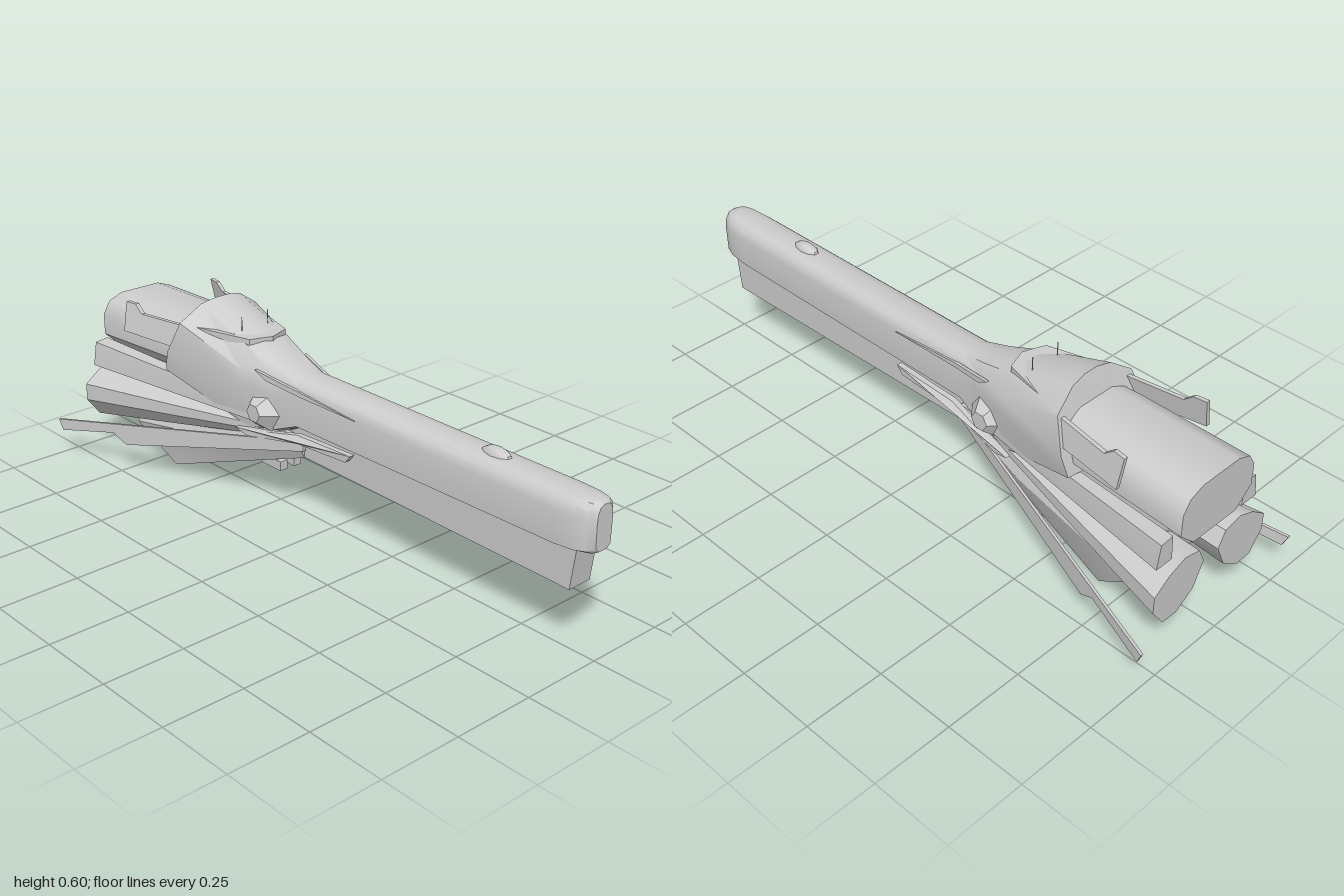
import * as THREE from 'three';
import { toCreasedNormals } from 'three/addons/utils/BufferGeometryUtils.js';

const material = new THREE.MeshStandardMaterial({ color: 0xcccccc, side: THREE.DoubleSide });

// Skin closed rings of [x, y, z], ordered front to back, counter-clockwise from the front.
function loft(rings) {
  const pos = [];
  const n = rings[0].length;
  const tri = (...p) => p.forEach((v) => pos.push(...v));
  for (let i = 0; i < rings.length - 1; i++) {
    for (let j = 0; j < n; j++) {
      const k = (j + 1) % n;
      const a = rings[i][j], b = rings[i][k], c = rings[i + 1][j], d = rings[i + 1][k];
      tri(a, c, b);
      tri(b, c, d);
    }
  }
  const centre = (r) => [0, 1, 2].map((q) => r.reduce((s, p) => s + p[q], 0) / n);
  const first = rings[0], last = rings[rings.length - 1];
  for (let j = 0; j < n; j++) {
    const k = (j + 1) % n;
    tri(centre(first), first[j], first[k]);
    tri(centre(last), last[k], last[j]);
  }
  const g = new THREE.BufferGeometry();
  g.setAttribute('position', new THREE.Float32BufferAttribute(pos, 3));
  return g;
}

// Complete a right-hand half ring (bottom to top) with its mirror half.
const whole = (half) => [...half, ...half.slice().reverse().map(([x, y, z]) => [-x, y, z])];

// Thin plate drawn as [z, y] outline, pushed sideways by xAt(z, y).
function plate(outline, thickness, xAt) {
  const shape = new THREE.Shape(outline.map(([z, y]) => new THREE.Vector2(-z, y)));
  const g = new THREE.ExtrudeGeometry(shape, { depth: thickness, bevelEnabled: false });
  g.rotateY(Math.PI / 2);
  const p = g.attributes.position;
  for (let i = 0; i < p.count; i++) p.setX(i, p.getX(i) + xAt(p.getZ(i), p.getY(i)));
  return g;
}

function mirrored(geometry) {
  const src = geometry.index ? geometry.toNonIndexed() : geometry;
  const p = src.attributes.position, pos = [];
  for (let i = 0; i < p.count; i += 3) {
    for (const j of [i, i + 2, i + 1]) pos.push(-p.getX(j), p.getY(j), p.getZ(j));
  }
  const g = new THREE.BufferGeometry();
  g.setAttribute('position', new THREE.Float32BufferAttribute(pos, 3));
  return g;
}

export function createModel() {
  const model = new THREE.Group();
  model.name = 'spaceship';
  const add = (name, geometry, crease = 0.5) => {
    geometry.deleteAttribute('uv');
    geometry.computeVertexNormals();
    const mesh = new THREE.Mesh(toCreasedNormals(geometry, crease), material);
    mesh.name = name;
    model.add(mesh);
  };
  const pair = (name, geometry, crease) => {
    const other = mirrored(geometry);
    add(name + 'Left', geometry, crease);
    add(name + 'Right', other, crease);
  };

  // Long rounded bow: [z, half width, bottom, top]
  const bow = [
    [1, 0.03, 0.325, 0.455], [0.985, 0.047, 0.318, 0.463], [0.95, 0.059, 0.314, 0.465],
    [0.89, 0.065, 0.312, 0.465], [-0.1, 0.067, 0.305, 0.465],
  ].map(([z, w, b, t]) => whole([
    [w * 0.5, b, z], [w * 0.94, b + 0.012, z], [w, t - 0.045, z],
    [w * 0.9, t - 0.02, z], [w * 0.65, t - 0.005, z], [w * 0.25, t, z],
  ]));
  // Hood flaring out behind the bow, cut off at a slant
  const hood = [
    [[0.045, 0.27, -0.18], [0.075, 0.285, -0.18], [0.083, 0.4, -0.18],
      [0.078, 0.45, -0.18], [0.055, 0.478, -0.18], [0.018, 0.485, -0.18]],
    [[0.05, 0.25, -0.3], [0.09, 0.265, -0.3], [0.115, 0.4, -0.3],
      [0.11, 0.455, -0.3], [0.075, 0.515, -0.3], [0.025, 0.53, -0.3]],
    [[0.06, 0.36, -0.6], [0.163, 0.375, -0.6], [0.172, 0.44, -0.58],
      [0.148, 0.54, -0.54], [0.075, 0.59, -0.525], [0.025, 0.6, -0.52]],
  ].map(whole);
  add('hull', loft([...bow, ...hood]), 0.6);

  // Lower keel beam under the bow
  const beam = ([z, w, b, t, rake]) => whole([[w, b, z], [w, t, z + rake]]);
  add('lowerBeam', loft([[0.935, 0.04, 0.2, 0.32, 0.015], [-0.1, 0.04, 0.215, 0.32, 0],
    [-0.3, 0.045, 0.17, 0.3, 0]].map(beam)));

  // Ventral wedge that deepens toward the stern, with a hollowed rear
  add('ventralWedge', loft([
    [[0.04, 0.212, -0.09], [0.055, 0.25, -0.09], [0.05, 0.28, -0.09]],
    [[0.063, 0.115, -0.36], [0.095, 0.19, -0.36], [0.07, 0.28, -0.36]],
    [[0.09, 0.003, -0.67], [0.135, 0.125, -0.81], [0.08, 0.25, -0.81]],
    [[0.08, 0.06, -0.69], [0.1, 0.12, -0.75], [0.06, 0.22, -0.75]],
  ].map(whole)), 0.3);

  // Upper engine
  const upper = (z, w, b, t) => whole([[w * 0.6, b, z], [w, b + (t - b) * 0.3, z],
    [w, b + (t - b) * 0.68, z], [w * 0.83, b + (t - b) * 0.9, z], [w * 0.5, t, z]]);
  add('upperEngine', loft([upper(-0.45, 0.115, 0.36, 0.53), upper(-0.6, 0.135, 0.35, 0.525),
    upper(-0.96, 0.145, 0.335, 0.515)]), 0.7);

  // Lower pair of flaring engines
  const nozzle = [[0.13, 0.117], [0.185, 0.12], [0.23, 0.18], [0.23, 0.235],
    [0.175, 0.275], [0.115, 0.298], [0.055, 0.285], [0.03, 0.235], [0.065, 0.16]];
  const engineRing = (z, s, cx, cy) => nozzle.map(([x, y]) =>
    [cx + (x - 0.13) * s, cy + (y - 0.21) * s, z]);
  pair('lowerEngine', loft([engineRing(-0.25, 0.3, 0.05, 0.27), engineRing(-0.6, 0.65, 0.09, 0.24),
    engineRing(-0.96, 1, 0.13, 0.21)]), 0.6);

  // Spine joining the engines
  add('engineSpine', loft([[-0.28, 0.06, 0.25, 0.4], [-0.86, 0.06, 0.24, 0.38]]
    .map(([z, w, b, t]) => whole([[w, b, z], [w, t, z]]))));

  // Side struts between the engines
  pair('sideStrut', loft([
    [[0.06, 0.29, -0.25], [0.09, 0.29, -0.25], [0.09, 0.34, -0.25], [0.065, 0.34, -0.25]],
    [[0.145, 0.302, -0.94], [0.207, 0.302, -0.94], [0.195, 0.378, -0.94], [0.15, 0.383, -0.94]],
  ]), 0.3);

  // Long swept wings with a stepped trailing end
  pair('sweptWing', plate([[-0.08, 0.272], [-0.08, 0.24], [-0.73, 0.098], [-0.78, 0.128],
    [-0.985, 0.088], [-1, 0.123]], 0.009, (z) => 0.05 - 0.288 * (z + 0.1)), 0.3);

  // Upper fins leaning outward at the bottom
  pair('upperFin', plate([[-0.45, 0.455], [-0.78, 0.46], [-0.785, 0.552], [-0.745, 0.552],
    [-0.715, 0.527], [-0.5, 0.53]], 0.013, (z, y) => 0.125 - 0.16 * (z + 0.45) - 0.2 * (y - 0.455)), 0.3);

  // Rails along the hull sides and small ears beside the hood
  pair('sideRail', plate([[0.15, 0.31], [0.13, 0.285], [-0.08, 0.272], [-0.28, 0.24],
    [-0.33, 0.255], [-0.2, 0.275], [-0.08, 0.3]], 0.018, (z) => 0.058 + Math.max(0, -z - 0.08) * 0.14), 0.3);
  pair('upperRail', plate([[0.16, 0.42], [-0.08, 0.42], [-0.2, 0.44], [-0.24, 0.465], [-0.08, 0.435]],
    0.01, (z) => 0.06 + Math.max(0, -z - 0.08) * 0.2), 0.3);

  // Faceted hexagonal blisters
  const blister = new THREE.CylinderGeometry(0.03, 0.07, 0.045, 6).rotateZ(-Math.PI / 2)
    .translate(0.097, 0.333, -0.23);
  pair('sideBlister', blister, 0.4);

  // Visor: thin wedge with a chevron front
  const visor = [[0, -0.275], [0.07, -0.3], [0.124, -0.49], [0, -0.49], [-0.124, -0.49], [-0.07, -0.3]];
  const visorShape = new THREE.Shape(visor.map(([x, z]) => new THREE.Vector2(x, -z)));
  const visorGeometry = new THREE.ExtrudeGeometry(visorShape, { depth: 0.035, bevelEnabled: false })
    .rotateX(-Math.PI / 2).translate(0, 0.5, 0);
  const vp = visorGeometry.attributes.position;
  for (let i = 0; i < vp.count; i++) {
    if (vp.getY(i) < 0.52 && vp.getZ(i) < -0.4) vp.setY(i, 0.53);
  }
  add('visor', visorGeometry, 0.3);

  // Needle antennas
  pair('antenna', new THREE.BoxGeometry(0.002, 0.06, 0.002).translate(0.05, 0.555, -0.36));

  // Small dome on the bow
  add('bowDome', new THREE.SphereGeometry(1, 10, 6).scale(0.025, 0.028, 0.053).translate(0, 0.457, 0.635), 0.6);

  // Twin blocks under the belly
  pair('bellyBlock', new THREE.BoxGeometry(0.028, 0.03, 0.09).translate(0.027, 0.145, -0.245));
  pair('bellyMount', new THREE.BoxGeometry(0.028, 0.05, 0.05).translate(0.027, 0.165, -0.245));

  return model;
}
